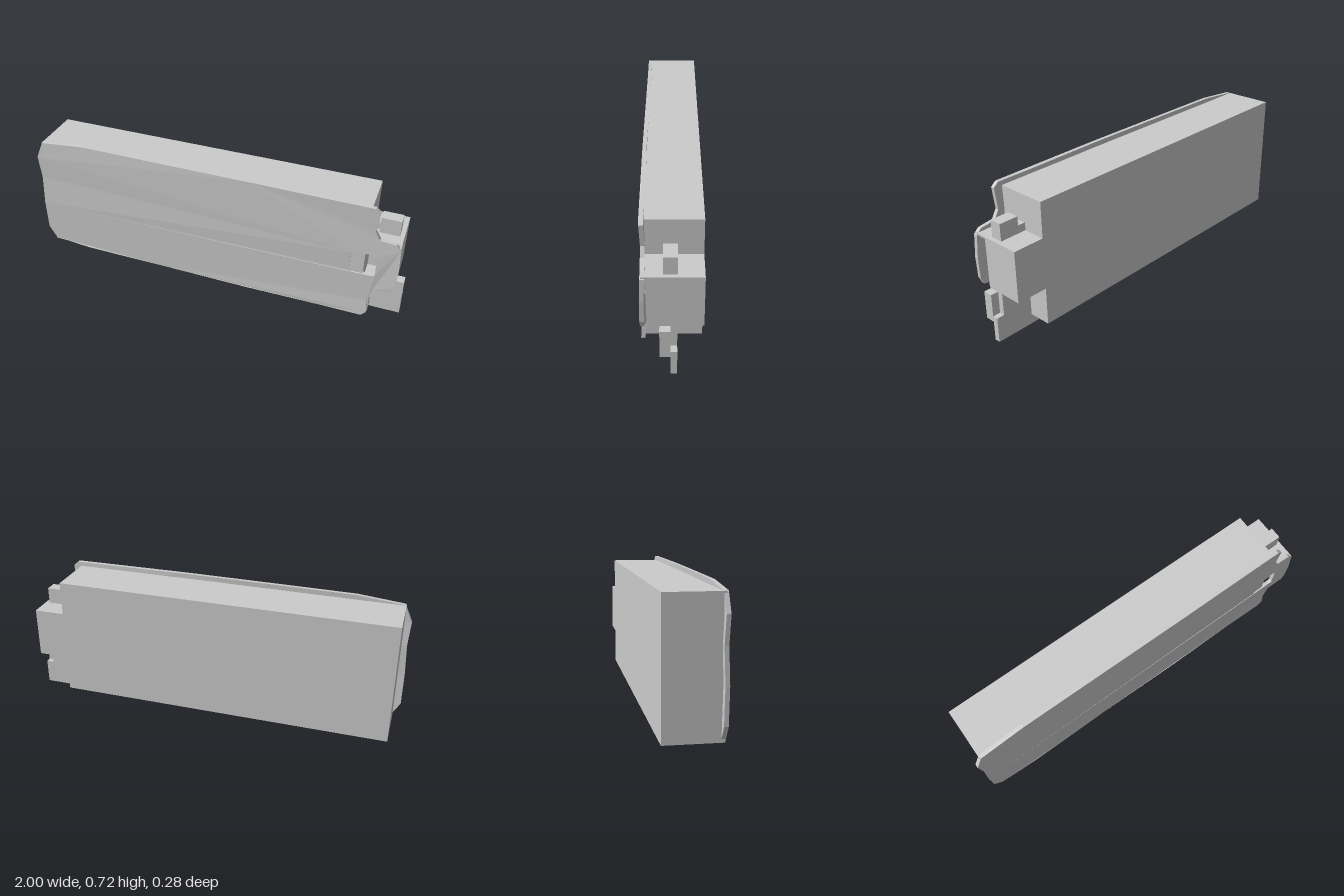
import * as THREE from 'three';

const material = new THREE.MeshStandardMaterial({ color: 0xcccccc, flatShading: true, side: THREE.DoubleSide });

// Box given by its two extreme corners
function block(parent, name, [x0, x1], [y0, y1], [z0, z1]) {
  const mesh = new THREE.Mesh(new THREE.BoxGeometry(x1 - x0, y1 - y0, z1 - z0), material);
  mesh.position.set((x0 + x1) / 2, (y0 + y1) / 2, (z0 + z1) / 2);
  mesh.name = name;
  parent.add(mesh);
}

// Worn thin sheet covering the front, with a tab and a square window
function coverPlate() {
  const outline = [
    [-0.96, 0.06], [-0.75, 0.045], [-0.3, 0.04], [0.2, 0.04], [0.6, 0.042], [0.82, 0.045], [0.845, 0.07],
    [0.84, 0.15], [0.86, 0.225], [0.95, 0.235], [0.965, 0.27], [0.97, 0.38], [0.965, 0.5], [0.94, 0.525],
    [0.86, 0.535], [0.835, 0.58], [0.845, 0.69], [0.82, 0.712], [0.6, 0.715], [0.2, 0.716], [-0.3, 0.716],
    [-0.72, 0.715], [-0.96, 0.692], [-1, 0.6], [-0.992, 0.47], [-1, 0.3], [-1, 0.13],
  ].map(([x, y]) => new THREE.Vector2(x, y));
  const shape = new THREE.Shape(outline);
  const window = [
    [0.73, 0.325], [0.73, 0.43], [0.745, 0.442], [0.85, 0.442],
    [0.86, 0.43], [0.86, 0.325], [0.85, 0.312], [0.745, 0.312],
  ].map(([x, y]) => new THREE.Vector2(x, y));
  shape.holes.push(new THREE.Path(window));
  const geometry = new THREE.ExtrudeGeometry(shape, { depth: 0.02, bevelEnabled: false });
  // Slight warping of the sheet
  const p = geometry.attributes.position;
  for (let i = 0; i < p.count; i++) {
    const ripple = 0.003 * Math.sin(p.getX(i) * 9 + p.getY(i) * 17);
    p.setZ(i, p.getZ(i) + 0.117 + ripple);
  }
  geometry.computeVertexNormals();
  const mesh = new THREE.Mesh(geometry, material);
  mesh.name = 'coverPlate';
  return mesh;
}

export function createModel() {
  const model = new THREE.Group();
  model.name = 'boxPanel';

  block(model, 'mainBody', [-0.965, 0.8], [0.052, 0.69], [-0.142, 0.131]);
  model.add(coverPlate());

  // Hollow housing at the end: solid back, roof, outer wall and floor
  const housing = new THREE.Group();
  housing.name = 'endHousing';
  block(housing, 'housingBack', [0.8, 0.962], [0.247, 0.51], [-0.142, -0.025]);
  block(housing, 'housingRoof', [0.8, 0.962], [0.5, 0.51], [-0.025, 0.131]);
  block(housing, 'housingWall', [0.95, 0.962], [0.247, 0.5], [-0.025, 0.06]);
  block(housing, 'housingFloor', [0.8, 0.962], [0.24, 0.25], [-0.025, 0.055]);
  model.add(housing);

  // Latch on the housing roof
  const latch = new THREE.Group();
  latch.name = 'topLatch';
  block(latch, 'latchHead', [0.84, 0.94], [0.51, 0.596], [-0.027, 0.035]);
  block(latch, 'latchStem', [0.8, 0.84], [0.51, 0.55], [-0.027, 0.01]);
  model.add(latch);

  // Stepped bracket under the housing
  const bracket = new THREE.Group();
  bracket.name = 'lowerBracket';
  block(bracket, 'bracketFoot', [0.73, 0.84], [0, 0.2], [0.004, 0.053]);
  block(bracket, 'bracketBackPlate', [0.73, 1], [0, 0.13], [-0.025, 0.004]);
  block(bracket, 'bracketArm', [0.84, 1], [0.1, 0.2], [0.004, 0.053]);
  block(bracket, 'bracketTop', [0.8, 1], [0.2, 0.245], [0.004, 0.053]);
  block(bracket, 'bracketWeb', [0.8, 0.96], [0.13, 0.245], [-0.025, 0.004]);
  model.add(bracket);

  return model;
}
